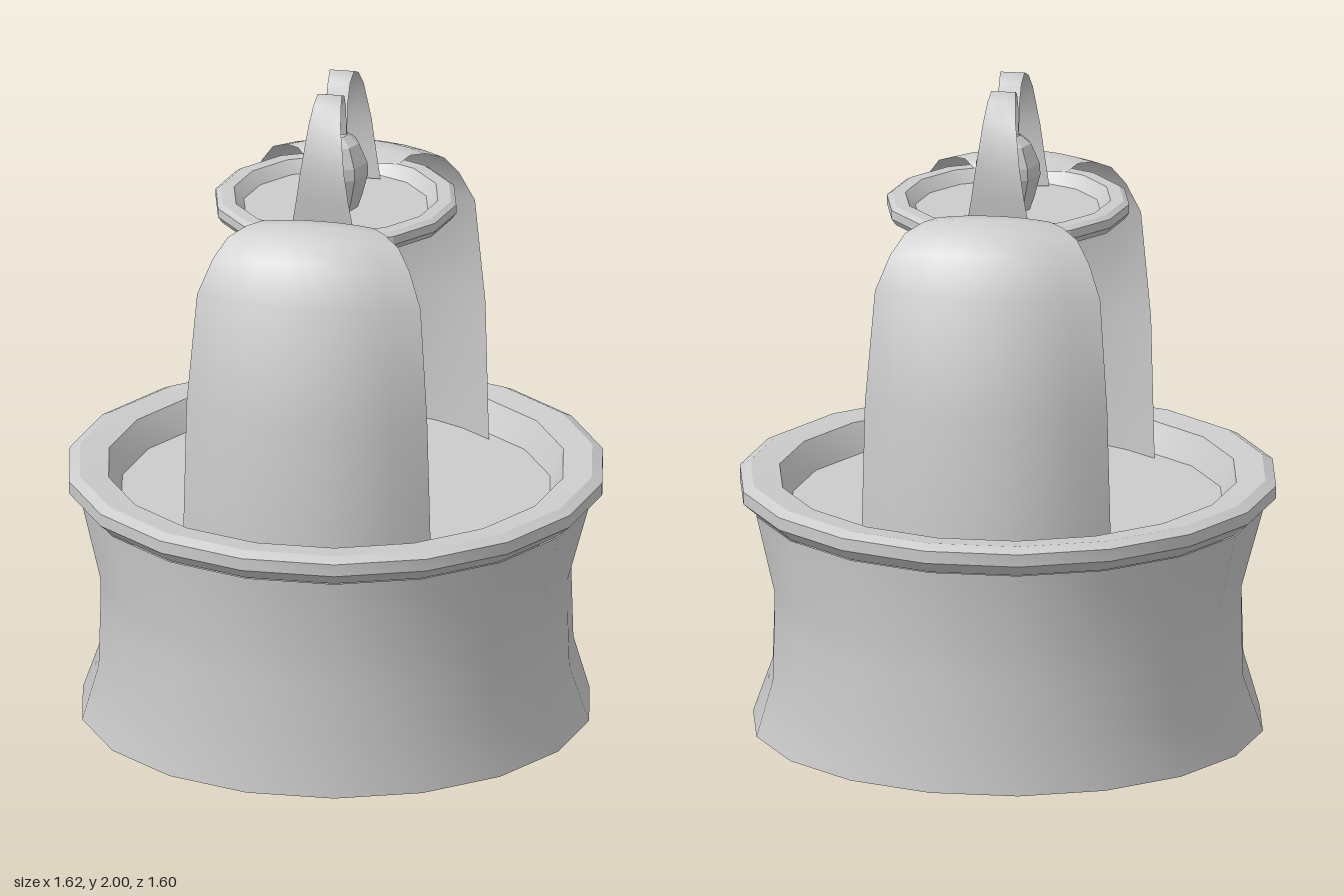
import * as THREE from 'three';
import { toCreasedNormals } from 'three/addons/utils/BufferGeometryUtils.js';

const material = new THREE.MeshStandardMaterial({ color: 0xcccccc, side: THREE.DoubleSide });

function part(name, geometry, crease) {
  const mesh = new THREE.Mesh(toCreasedNormals(geometry, crease), material);
  mesh.name = name;
  return mesh;
}

// Turned shape from [radius, y] pairs, with a corner on the x axis
function turned(profile, sides) {
  const points = profile.map(([r, y]) => new THREE.Vector2(r, y));
  return new THREE.LatheGeometry(points, sides, Math.PI / 2);
}

// Open surface through rows of [x, y, z] points
function sheet(rows) {
  const n = rows[0].length, index = [];
  for (let i = 0; i < rows.length - 1; i++) {
    for (let j = 0; j < n - 1; j++) {
      const a = i * n + j, b = a + n;
      index.push(a, a + 1, b, b, a + 1, b + 1);
    }
  }
  const geometry = new THREE.BufferGeometry();
  geometry.setAttribute('position', new THREE.Float32BufferAttribute(rows.flat(2), 3));
  geometry.setIndex(index);
  return geometry;
}

// Waisted, open-bottomed drum, pinched more at its two sides
function drum() {
  const geometry = turned([[0.77, 0], [0.757, 0.17], [0.752, 0.35], [0.75, 0.45], [0.77, 0.69]], 18);
  const pinch = { 0.17: 0.047, 0.35: 0.047, 0.45: 0.045 };
  const pos = geometry.attributes.position;
  for (let i = 0; i < pos.count; i++) {
    const x = pos.getX(i), y = pos.getY(i), z = pos.getZ(i), r = Math.hypot(x, z);
    const amount = pinch[y.toFixed(2)] || 0;
    const s = 1 - (amount * (x / r) ** 4) / r;
    pos.setXYZ(i, x * s, y, z * s);
  }
  return geometry;
}

// Curved shield: each row is [centre y, centre z, edge x, edge y, edge z]
function shield() {
  const rows = [
    [0.69, 0.643, 0.377, 0.69, 0.48],
    [1.13, 0.632, 0.366, 1.13, 0.483],
    [1.48, 0.54, 0.34, 1.47, 0.45],
    [1.6, 0.48, 0.30, 1.57, 0.41],
    [1.65, 0.43, 0.26, 1.63, 0.375],
    [1.678, 0.36, 0.21, 1.655, 0.335],
    [1.675, 0.31, 0.17, 1.66, 0.30],
    [1.645, 0.255, 0.14, 1.64, 0.27],
  ];
  const steps = 8;
  return sheet(rows.map(([cy, cz, ex, ey, ez]) =>
    Array.from({ length: steps + 1 }, (_, i) => {
      const t = (i / steps) * 2 - 1, k = Math.abs(t) ** 2.2;
      return [ex * t, cy + (ey - cy) * k, cz + (ez - cz) * k];
    })));
}

// Arched strap: each row is [z, y, half width]
function strap() {
  const rows = [
    [0.22, 1.61, 0.095], [0.228, 1.7, 0.08], [0.23, 1.8, 0.066], [0.19, 1.93, 0.049],
    [0.145, 1.98, 0.042], [0.1, 2.0, 0.037], [0.05, 1.98, 0.034], [0.015, 1.93, 0.033], [0, 1.82, 0.033],
  ];
  return sheet(rows.map(([z, y, w]) => [[-w, y, z], [0, y, z], [w, y, z]]));
}

export function createModel() {
  const model = new THREE.Group();
  model.name = 'model';

  model.add(part('drum', drum(), 0.7));

  // Rim with the recessed floor inside it
  model.add(part('rimAndFloor', turned([
    [0.765, 0.69], [0.81, 0.73], [0.81, 0.768], [0.778, 0.784], [0.69, 0.775],
    [0.67, 0.735], [0.65, 0.69], [0, 0.69],
  ], 18), 0.38));

  // Short ledge that carries the floor from below
  model.add(part('floorLedge', turned([[0.65, 0.69], [0.65, 0.63], [0.685, 0.63], [0.69, 0.69]], 18), 0.38));

  model.add(part('centrePost', turned([
    [0.125, 0.69], [0.11, 0.78], [0.078, 0.93], [0.064, 1.25], [0.076, 1.445], [0, 1.445],
  ], 8), 0.2));

  // Shallow tray with a raised edge and a small hole under the knob
  model.add(part('topTray', turned([
    [0.05, 1.585], [0.352, 1.585], [0.366, 1.605], [0.366, 1.632], [0.35, 1.642],
    [0.31, 1.642], [0.28, 1.605], [0.05, 1.605], [0.05, 1.585],
  ], 14), 0.38));

  model.add(part('knob', turned([
    [0.065, 1.6], [0.08, 1.645], [0.098, 1.715], [0.096, 1.75], [0.07, 1.81], [0.037, 1.835], [0, 1.835],
  ], 8), 0.2));

  // Matching front and back pieces
  for (const [side, turn] of [['front', 0], ['back', Math.PI]]) {
    const half = new THREE.Group();
    half.name = side + 'Half';
    half.rotation.y = turn;
    half.add(part(side + 'Shield', shield(), 1), part(side + 'Strap', strap(), 1));
    model.add(half);
  }
  return model;
}
